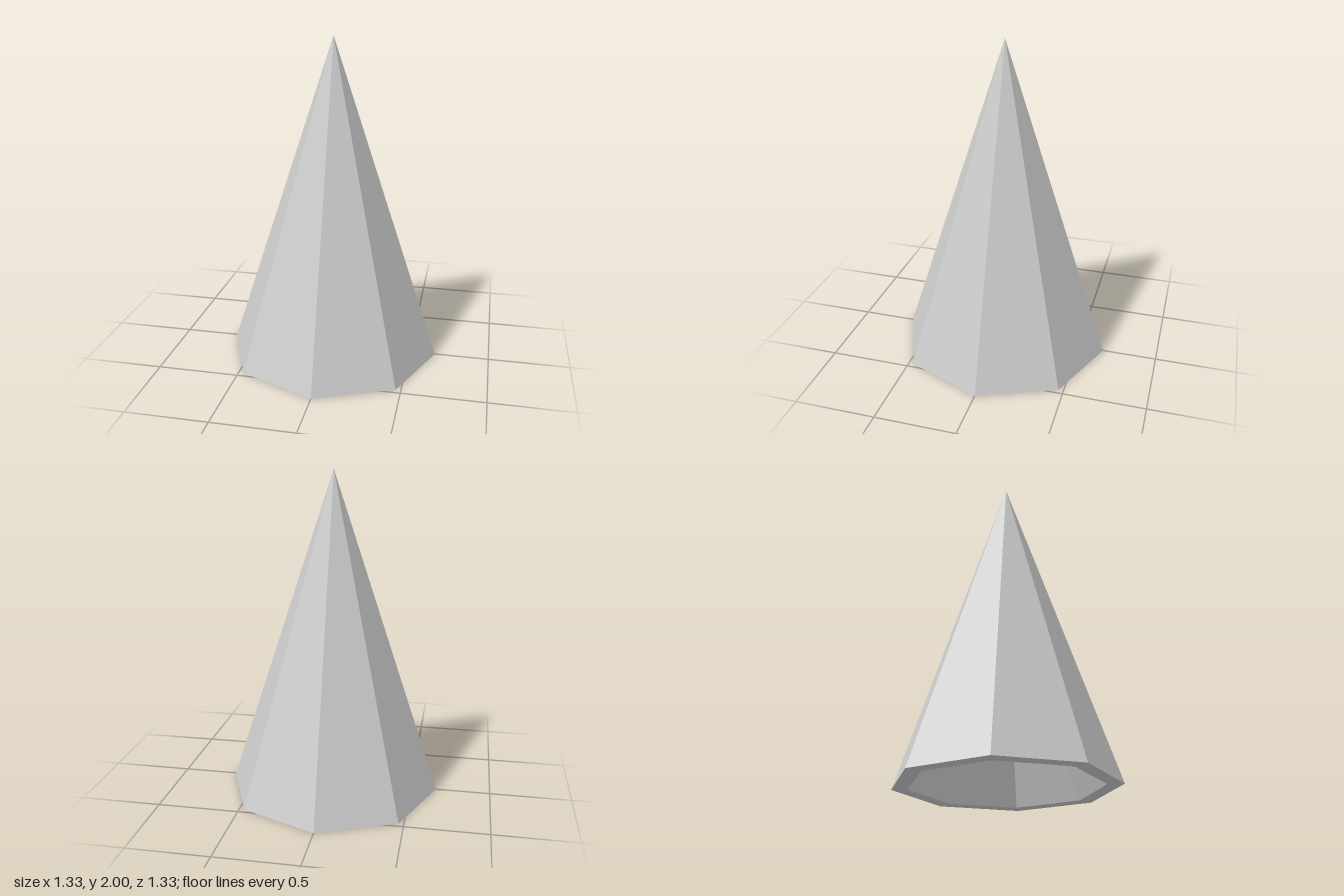
import * as THREE from 'three';

const SIDES = 8;
const HEIGHT = 2;
const OUTER_RADIUS = 0.663;
const INNER_RADIUS = 0.566;
const INNER_HEIGHT = 1.33;

// Revolve a [radius, height] profile into an eight-sided surface
function facetedLathe(name, profile, material) {
  const points = profile.map(([r, y]) => new THREE.Vector2(r, y));
  const geometry = new THREE.LatheGeometry(points, SIDES).toNonIndexed();
  geometry.computeVertexNormals();
  const mesh = new THREE.Mesh(geometry, material);
  mesh.name = name;
  return mesh;
}

export function createModel() {
  const group = new THREE.Group();
  group.name = 'hollowCone';
  const material = new THREE.MeshStandardMaterial({ color: 0xcccccc, flatShading: true });

  // Sloping outside faces, rising to the point
  group.add(facetedLathe('outerShell', [[OUTER_RADIUS, 0], [0, HEIGHT]], material));
  // Flat ring the cone stands on, facing down
  group.add(facetedLathe('bottomRim', [[INNER_RADIUS, 0], [OUTER_RADIUS, 0]], material));
  // Conical hollow, facing inward
  group.add(facetedLathe('innerHollow', [[0, INNER_HEIGHT], [INNER_RADIUS, 0]], material));

  return group;
}
